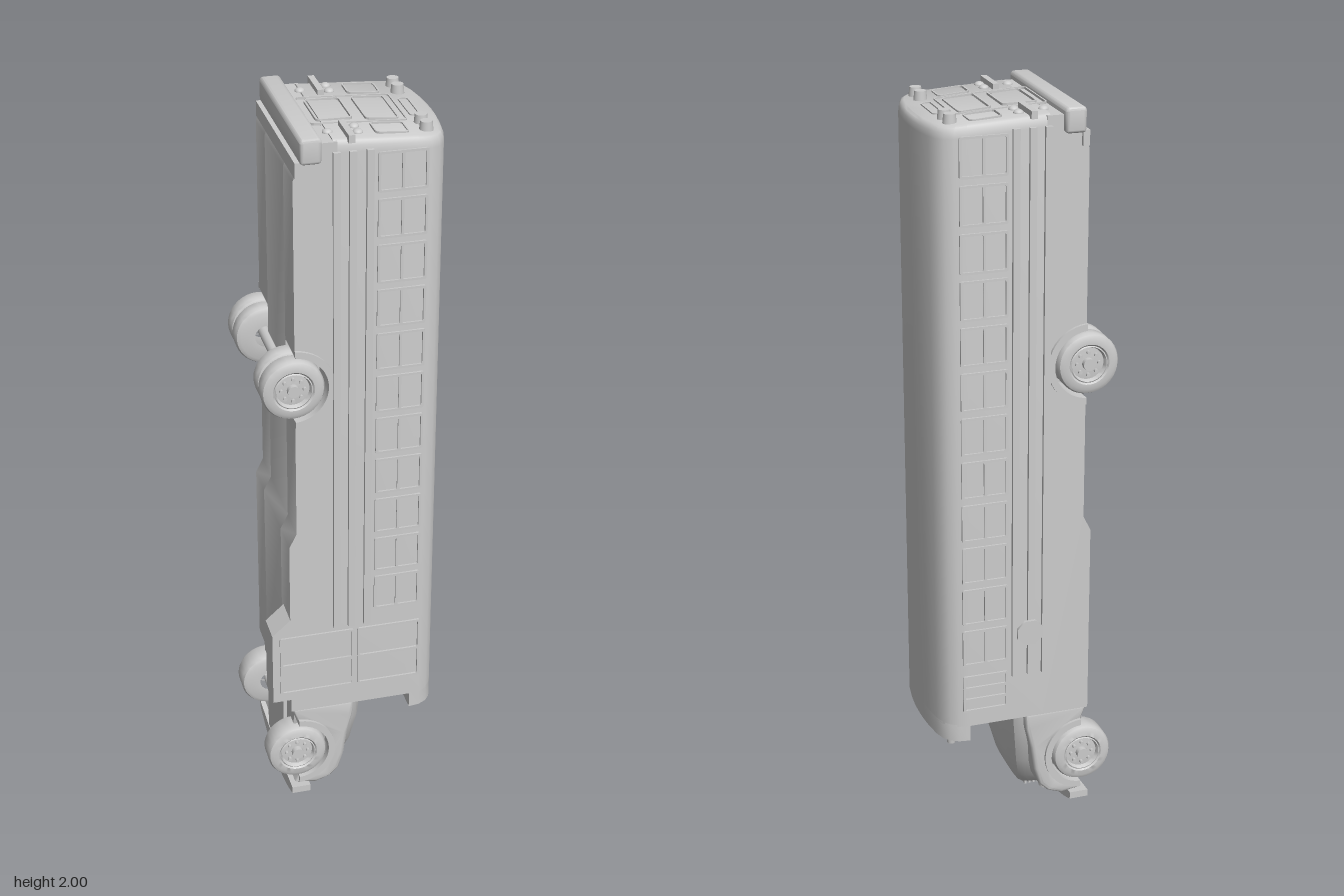
import * as THREE from 'three';
import { toCreasedNormals } from 'three/addons/utils/BufferGeometryUtils.js';

// Bus standing on its nose: roof faces +x, rear faces +y, sides face +z and -z.
const mat = new THREE.MeshStandardMaterial({ color: 0xcccccc });
const SIDES = [1, -1];

export function createModel() {
  const bus = new THREE.Group();
  bus.name = 'bus';

  const add = (name, geo, x = 0, y = 0, z = 0, parent = bus) => {
    const m = new THREE.Mesh(geo, mat);
    m.name = name;
    m.position.set(x, y, z);
    parent.add(m);
    return m;
  };
  const box = (name, x0, x1, y0, y1, z0, z1) =>
    add(name, new THREE.BoxGeometry(x1 - x0, y1 - y0, z1 - z0), (x0 + x1) / 2, (y0 + y1) / 2, (z0 + z1) / 2);
  const poly = pts => new THREE.Shape(pts.map(p => new THREE.Vector2(...p)));
  const extrude = (shape, depth, bevel = 0) => toCreasedNormals(new THREE.ExtrudeGeometry(shape, {
    depth, curveSegments: 20, bevelEnabled: bevel > 0, bevelSize: bevel, bevelThickness: bevel, bevelOffset: -bevel, bevelSegments: 3,
  }), 0.6);

  // Extrusion between two z values
  const slab = (name, shape, z0, z1, bevel = 0) =>
    add(name, extrude(shape, z1 - z0 - 2 * bevel, bevel), 0, 0, z0 + bevel);

  const roundRect = (a0, a1, b0, b1, r, Type = THREE.Shape) => {
    const s = new Type();
    s.moveTo(a0 + r, b0);
    s.lineTo(a1 - r, b0); s.quadraticCurveTo(a1, b0, a1, b0 + r);
    s.lineTo(a1, b1 - r); s.quadraticCurveTo(a1, b1, a1 - r, b1);
    s.lineTo(a0 + r, b1); s.quadraticCurveTo(a0, b1, a0, b1 - r);
    s.lineTo(a0, b0 + r); s.quadraticCurveTo(a0, b0, a0 + r, b0);
    return s;
  };
  const frameShape = (a0, a1, b0, b1, r, t) => {
    const s = roundRect(a0, a1, b0, b1, r);
    s.holes.push(roundRect(a0 + t, a1 - t, b0 + t, b1 - t, r * 0.7, THREE.Path));
    return s;
  };

  // Closed skin through horizontal rings of [x, y, z], listed upward
  const loft = (name, rings) => {
    const n = rings[0].length, pos = rings.flat(2), idx = [];
    for (let i = 0; i < rings.length - 1; i++) for (let j = 0; j < n; j++) {
      const a = i * n + j, b = i * n + (j + 1) % n;
      idx.push(a, b, a + n, b, b + n, a + n);
    }
    [0, rings.length - 1].forEach(i => {
      const c = pos.length / 3;
      for (let k = 0; k < 3; k++) pos.push(rings[i].reduce((s, p) => s + p[k], 0) / n);
      for (let j = 0; j < n; j++) {
        const a = i * n + j, b = i * n + (j + 1) % n;
        i ? idx.push(c, a, b) : idx.push(c, b, a);
      }
    });
    const g = new THREE.BufferGeometry();
    g.setAttribute('position', new THREE.Float32BufferAttribute(pos, 3));
    g.setIndex(idx);
    return add(name, toCreasedNormals(g, 0.6));
  };

  // Main body with rounded roof and sloped rear
  const half = [[-0.06, 0.2], [0.155, 0.2], [0.185, 0.196], [0.207, 0.184], [0.222, 0.165], [0.232, 0.135], [0.24, 0.085], [0.244, 0.04]];
  const section = [...half, [0.245, 0], ...half.slice().reverse().map(([x, z]) => [x, -z])];
  const rearY = x => 1.984 - Math.max(0, x) * 0.08;
  const ring = (drop, s, minX = -1) => section.map(([x, z]) => {
    const px = Math.max(minX, x < 0 ? x : 0.05 + (x - 0.05) * s);
    return [px, rearY(px) - drop, z * s];
  });
  const flat = (y, minX = -1) => ring(0, 1, minX).map(([x, , z]) => [x, y, z]);
  loft('body', [flat(0.325), ring(0.03, 1), ring(0.014, 0.99), ring(0.004, 0.965), ring(0, 0.93)]);
  loft('roofVisor', [flat(0.28, 0.155), flat(0.33, 0.155)]);

  // Skirt with rear wheel wells, and the floor between them
  const wheelX = -0.165, rearWheel = 1.33, frontWheel = 0.185;
  const arc = (cy, r) => {
    const out = [], a = Math.asin(Math.min(1, 0.005 / r));
    for (let i = 0; i <= 20; i++) {
      const t = Math.PI / 2 - a - (Math.PI - 2 * a) * i / 20;
      out.push([wheelX + r * Math.cos(t), cy + r * Math.sin(t)]);
    }
    return out;
  };
  const skirt = well => poly([[-0.05, 1.98], [-0.1, 1.98], [-0.145, 1.93], [-0.16, 1.89], ...well,
    [-0.16, 0.9], [-0.18, 0.86], [-0.18, 0.325], [-0.05, 0.325]]);
  slab('floor', skirt([]), -0.1, 0.1);
  SIDES.forEach(s => slab('sideSkirt', skirt(arc(rearWheel, 0.093)), s > 0 ? 0.1 : -0.2, s > 0 ? 0.2 : -0.1));

  // Hood: rings of [y, top x, half width]
  loft('hood', [[0.03, -0.05, 0.06], [0.04, -0.025, 0.08], [0.08, -0.003, 0.112], [0.15, 0.014, 0.148], [0.25, 0.028, 0.178], [0.33, 0.036, 0.188]]
    .map(([y, top, w]) => {
      const h = [[-0.17, w], [top - 0.06, w], [top - 0.03, w * 0.96], [top - 0.012, w * 0.88], [top - 0.003, w * 0.7], [top, w * 0.35]];
      return [...h, ...h.slice().reverse().map(([x, z]) => [x, -z])].map(([x, z]) => [x, y, z]);
    }));
  box('frontChassis', -0.18, -0.1, 0.03, 0.33, -0.1, 0.1);
  for (let i = 0; i < 7; i++) box('grilleBar', -0.125 + i * 0.012, -0.119 + i * 0.012, 0.022, 0.035, -0.06, 0.06);

  // Front fenders, arch flares and headlights
  const fender = poly([[-0.18, 0.33], ...arc(frontWheel, 0.09), [-0.17, 0.07], [-0.11, 0.06], [-0.07, 0.075],
    [-0.045, 0.1], [-0.03, 0.15], [-0.02, 0.22], [-0.005, 0.28], [0.0, 0.33]]);
  const flare = (cy, r) => poly([...arc(cy, r), ...arc(cy, r + 0.018).reverse()]);
  SIDES.forEach(s => {
    const span = (a, b) => (s > 0 ? [a, b] : [-b, -a]);
    slab('fender', fender, ...span(0.08, 0.198), 0.012);
    slab('frontArch', flare(frontWheel, 0.089), ...span(0.185, 0.206));
    slab('rearArch', flare(rearWheel, 0.091), ...span(0.195, 0.208));
    add('headlight', new THREE.CylinderGeometry(0.022, 0.022, 0.02, 24), -0.09, 0.062, s * 0.125);
  });

  // Curved front bumper and wrapped rear bumper
  const lens = new THREE.Shape();
  lens.moveTo(-0.208, 0.065);
  lens.lineTo(-0.208, 0.045);
  lens.quadraticCurveTo(0, -0.045, 0.208, 0.045);
  lens.lineTo(0.208, 0.065);
  lens.quadraticCurveTo(0, 0.045, -0.208, 0.065);
  add('frontBumper', extrude(lens, 0.052).rotateY(Math.PI / 2), -0.182, 0, 0);
  const wrap = roundRect(-0.146, -0.092, 1.935, 2.0, 0.012);
  slab('rearBumper', wrap, -0.22, 0.22, 0.008);
  box('bumperBacking', -0.157, -0.14, 1.9, 1.94, -0.21, 0.21);

  // Wheels: double tyres at the rear, single at the front
  const tyre = (z0, z1) => {
    const pts = [[0.03, z0], [0.068, z0], [0.078, z0 + 0.005], [0.082, z0 + 0.013], [0.082, z1 - 0.013], [0.078, z1 - 0.005],
      [0.068, z1], [0.054, z1], [0.05, z1 - 0.004], [0.047, z1 - 0.002], [0.043, z1 - 0.014], [0.02, z1 - 0.012], [0, z1 - 0.012]];
    return toCreasedNormals(new THREE.LatheGeometry(pts.map(p => new THREE.Vector2(...p)), 36).rotateX(Math.PI / 2), 0.6);
  };
  const wheel = (name, y, tyres, side) => {
    const g = new THREE.Group();
    g.name = name;
    tyres.forEach(([a, b]) => add('tyre', tyre(a, b), 0, 0, 0, g));
    const peg = (r, len) => new THREE.CylinderGeometry(r, r, len, 16).rotateX(Math.PI / 2);
    add('hub', peg(0.016, 0.02), 0, 0, 0.204, g);
    for (let i = 0; i < 8; i++) {
      const t = i * Math.PI / 4;
      add('wheelNut', peg(0.005, 0.012), 0.03 * Math.cos(t), 0.03 * Math.sin(t), 0.201, g);
    }
    g.position.set(wheelX, y, 0);
    if (side < 0) g.rotation.y = Math.PI;
    bus.add(g);
  };
  SIDES.forEach(s => {
    wheel('rearWheel', rearWheel, [[0.1, 0.154], [0.156, 0.212]], s);
    wheel('frontWheel', frontWheel, [[0.135, 0.21]], s);
  });
  [rearWheel, frontWheel].forEach(y => add('axle', new THREE.CylinderGeometry(0.015, 0.015, 0.3, 16).rotateX(Math.PI / 2), wheelX, y, 0));

  // Side ribs and two-pane windows
  const sideFrame = (name, s, x0, x1, y0, y1) =>
    slab(name, frameShape(x0, x1, y0, y1, 0.006, 0.006), s > 0 ? 0.199 : -0.205, s > 0 ? 0.205 : -0.199);
  SIDES.forEach(s => {
    [-0.053, -0.013, 0.03].forEach(x => box('sideRib', x - 0.009, x + 0.009, s > 0 ? 0.59 : 0.46, 1.955, s * 0.204 - 0.005, s * 0.204 + 0.005));
    for (let i = 0; i < (s > 0 ? 11 : 12); i++) {
      const top = 1.945 - i * 0.121;
      sideFrame('windowFrame', s, 0.05, 0.115, top - 0.104, top);
      sideFrame('windowFrame', s, 0.109, 0.175, top - 0.104, top);
    }
  });
  for (let i = 0; i < 3; i++) sideFrame('driverWindow', -1, 0.05, 0.175, 0.37 + i * 0.034, 0.41 + i * 0.034);

  // Entry door with step well
  slab('stepWell', poly([[-0.1, 0.63], [-0.18, 0.63], [-0.23, 0.585], [-0.23, 0.365], [-0.1, 0.365]]), 0.12, 0.2);
  [[-0.21, -0.005], [0.005, 0.18]].forEach(([a, b]) => [[0.39, 0.485], [0.48, 0.575]].forEach(([c, d]) => sideFrame('doorPanel', 1, a, b, c, d)));

  // Stop sign on the driver's side
  const sign = new THREE.CylinderGeometry(0.038, 0.038, 0.008, 8).rotateY(Math.PI / 8).rotateX(Math.PI / 2);
  add('stopSign', sign, -0.008, 0.59, -0.215);
  box('signBracket', -0.03, 0.015, 0.58, 0.6, -0.213, -0.198);

  // Rear door, windows, lamps and rails
  const rearFrame = (name, x0, x1, z0, z1, r) => {
    const g = extrude(frameShape(x0, x1, -z1, -z0, r, 0.004), 0.006).rotateX(-Math.PI / 2);
    const p = g.attributes.position;
    for (let i = 0; i < p.count; i++) p.setY(i, p.getY(i) + rearY(p.getX(i)) - 0.003);
    add(name, g);
  };
  rearFrame('rearDoor', -0.09, 0.155, -0.09, 0.09, 0.015);
  rearFrame('rearDoorWindow', -0.07, 0.022, -0.07, 0.07, 0.015);
  rearFrame('rearDoorWindow', 0.052, 0.137, -0.077, 0.077, 0.015);
  rearFrame('rearLightBar', 0.168, 0.197, -0.06, 0.06, 0.012);
  SIDES.forEach(s => {
    rearFrame('rearSideWindow', 0.052, 0.137, s * 0.135 - 0.035, s * 0.135 + 0.035, 0.015);
    [0.104, 0.15].forEach(z => {
      add('warningLamp', new THREE.CylinderGeometry(0.015, 0.018, 0.028, 24), 0.182, 1.978, s * z);
      add('frontLamp', new THREE.CylinderGeometry(0.014, 0.011, 0.03, 20), 0.195, 0.27, s * z);
    });
    [[-0.06, 0.14], [0.01, 0.12], [0.01, 0.158]].forEach(([x, z]) =>
      add('tailLamp', new THREE.SphereGeometry(0.013, 20, 8, 0, Math.PI * 2, 0, Math.PI / 2).scale(1, 0.7, 1), x, 1.982, s * z));
    box('rearRail', -0.024, -0.008, 1.975, 1.995, s * 0.153 - 0.052, s * 0.153 + 0.052);
    // Windshield pane, facing forward
    const pane = extrude(frameShape(0.045, 0.145, -0.085, 0.085, 0.015, 0.006), 0.006).rotateX(-Math.PI / 2);
    add('windshieldFrame', pane, 0, 0.32, s * 0.092);
  });
  return bus;
}
